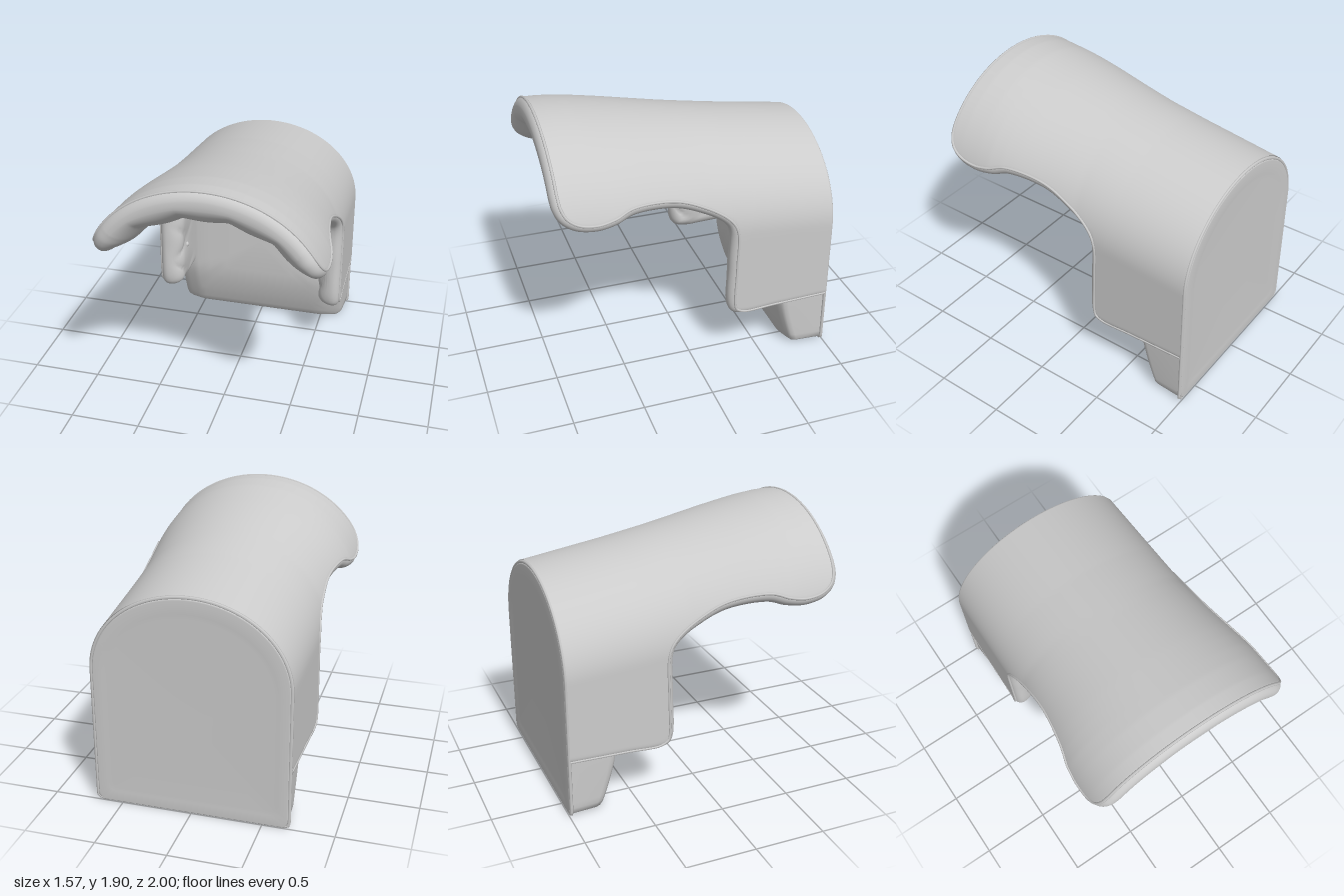
import * as THREE from 'three';
import { mergeVertices } from 'three/addons/utils/BufferGeometryUtils.js';

const material = new THREE.MeshStandardMaterial({ color: 0xcccccc, side: THREE.DoubleSide });
const W = 0.65; // length of one radian of arch
const HALF = Math.PI / 2;

// Linear interpolation through [z, value] stops
function ramp(stops, z) {
  for (let i = 1; i < stops.length; i++) {
    const [z0, v0] = stops[i - 1], [z1, v1] = stops[i];
    if (z <= z1) return v0 + (v1 - v0) * Math.max(0, (z - z0) / (z1 - z0));
  }
  return stops[stops.length - 1][1];
}
const topY = z => ramp([[-1, 1.59], [-0.4, 1.68], [0, 1.75], [0.4, 1.825], [0.7, 1.877], [0.85, 1.893], [1, 1.895]], z);
const halfWidth = z => ramp([[-1, 0.7], [-0.3, 0.712], [-0.1, 0.716], [0, 0.728], [0.1, 0.74], [0.2, 0.753], [0.3, 0.768], [0.4, 0.783], [0.5, 0.796], [0.6, 0.805], [1, 0.81]], z);
const springY = z => 1.1 + 0.1 * z;

// Point of the hood at depth z and arch angle q (0 = crown), pushed inward by `inset`
function hoodPoint(z, q, inset) {
  const a = halfWidth(z), cy = springY(z), b = topY(z) - cy;
  const s = Math.sign(q), p = Math.abs(q), c = Math.min(p, HALF);
  const n = new THREE.Vector2(Math.sin(c) / a, Math.cos(c) / b).normalize();
  const x = a * Math.sin(c) - n.x * inset;
  const y = cy + b * Math.cos(c) - Math.max(0, p - HALF) * W - n.y * inset;
  return new THREE.Vector3(s * x, y, z);
}
function angleAt(z, y) {
  const cy = springY(z), b = topY(z) - cy;
  return y > cy ? Math.acos((y - cy) / b) : HALF + (cy - y) / W;
}

// Lower edge of the hood: depth, height, and the crown depth it is joined to
const edge = new THREE.CatmullRomCurve3([
  [-0.985, 0.4, -0.985], [-0.6, 0.395, -0.8], [-0.3, 0.395, -0.62], [-0.236, 0.45, -0.55], [-0.23, 0.8, -0.4],
  [-0.23, 1.08, -0.27], [-0.19, 1.16, -0.2], [0, 1.285, 0], [0.18, 1.355, 0.18], [0.46, 1.378, 0.45],
  [0.58, 1.34, 0.58], [0.72, 1.32, 0.72], [0.86, 1.348, 0.84], [0.95, 1.415, 0.92], [0.99, 1.5, 0.97], [1, 1.58, 1],
].map(p => new THREE.Vector3(...p)));
const ROWS = 135, HALF_COLS = 56;
const rim = [];
for (let i = 0; i <= ROWS; i++) {
  const p = edge.getPoint(i / ROWS);
  const z = Math.min(p.x, 1);
  rim.push({ z, q: angleAt(z, p.y), crown: Math.min(p.z, 1) });
}

// Distance from a hood position to its free edge
function edgeDistance(z, q) {
  let best = 1 - z;
  const w = Math.abs(q) * W;
  for (let i = 1; i < rim.length; i++) {
    const az = rim[i - 1].z, aw = rim[i - 1].q * W;
    const dz = rim[i].z - az, dw = rim[i].q * W - aw;
    const t = THREE.MathUtils.clamp(((z - az) * dz + (w - aw) * dw) / (dz * dz + dw * dw || 1), 0, 1);
    best = Math.min(best, Math.hypot(z - az - t * dz, w - aw - t * dw));
  }
  return Math.max(0, best);
}
const round = (d, r) => Math.sqrt(1 - (1 - Math.min(d / r, 1)) ** 2);

// Padding is thick at the crown and thinner on the wings
function thickness(z, q) {
  const crown = ramp([[-0.6, 0.29], [0.4, 0.28], [0.7, 0.27], [1, 0.25]], z);
  const c = Math.cos(Math.min(Math.abs(q), HALF));
  return 0.17 + (crown - 0.17) * c ** 1.4;
}
// The inside rolls more softly towards the front
const innerRadius = z => ramp([[-0.3, 0.1], [0.2, 0.14], [0.8, 0.24]], z);

// Diamond tufts inside, running out into straight channels at the front
function tuft(z, q) {
  const p = q / 0.5, r = Math.min(0.5, (z - 0.6) / 0.4 + 0.5);
  const puff = Math.sqrt(Math.abs(Math.sin(Math.PI * (p + r)) * Math.sin(Math.PI * (p - r))));
  return 0.03 * (puff - 0.6) * THREE.MathUtils.smoothstep(z, -0.6, -0.2);
}

function hoodGeometry() {
  const positions = [], index = [], cols = HALF_COLS * 2 + 1, count = (ROWS + 1) * cols;
  for (const inside of [false, true]) {
    for (const { z: zb, q: qb, crown } of rim) {
      for (let j = -HALF_COLS; j <= HALF_COLS; j++) {
        const v = 1 - (1 - Math.abs(j) / HALF_COLS) ** 1.6;
        const z = crown + (zb - crown) * v, q = Math.sign(j) * qb * v;
        const d = edgeDistance(z, q), t = thickness(z, q);
        const roll = round(d, inside ? innerRadius(z) : 0.06);
        const inset = inside ? t * (0.35 + 0.65 * roll) + tuft(z, q) * roll : 0.35 * t * (1 - roll);
        positions.push(...hoodPoint(z, q, inset).toArray());
      }
    }
    const base = inside ? count : 0;
    for (let i = 0; i < ROWS; i++) for (let j = 0; j < cols - 1; j++) {
      const a = base + i * cols + j, b = a + cols;
      if (inside) index.push(a, a + 1, b, a + 1, b + 1, b);
      else index.push(a, b, a + 1, a + 1, b, b + 1);
    }
  }
  return smoothGeometry(positions, index);
}

function smoothGeometry(positions, index) {
  const g = new THREE.BufferGeometry();
  g.setAttribute('position', new THREE.Float32BufferAttribute(positions, 3));
  g.setIndex(index);
  const welded = mergeVertices(g, 1e-4);
  welded.computeVertexNormals();
  return welded;
}

// Arched outline of the back, counter-clockwise seen from the front
function backOutline(a, top) {
  const s = new THREE.Shape(), r = 0.05;
  s.moveTo(-a + r, 0).lineTo(a - r, 0).quadraticCurveTo(a, 0, a, r);
  s.lineTo(a, 0.4).lineTo(a, 1);
  s.absellipse(0, 1, a, top - 1, 0, Math.PI, false);
  s.lineTo(-a, 0.4).lineTo(-a, r).quadraticCurveTo(-a, 0, -a + r, 0);
  return s.getSpacedPoints(120).slice(0, -1);
}

// Padded back: rings from the rear centre, round the side, to the front centre
function backGeometry() {
  const outline = backOutline(0.68, 1.572), n = outline.length;
  const front = (x, y) => -0.605 - 0.11 * Math.max(0, (0.4 - y) / 0.4) ** 1.3
    - 0.05 * Math.max(0, (Math.abs(x) - 0.52) / 0.16);
  const rings = [
    [0, -0.994], [0.84, -0.994], [0.88, -1], [0.985, -1], [0.997, -0.995], [1, -0.985],
    [1, -0.045, true], [0.99, -0.018, true], [0.965, -0.004, true], [0.9, 0, true], [0.82, 0.002, true],
    [0.75, 0.004, true], [0.6, 0.006, true], [0.4, 0.008, true], [0, 0.008, true],
  ];
  const positions = [], index = [];
  for (const [k, z, isFront] of rings) for (const p of outline) {
    const x = p.x * k, y = 0.7 + (p.y - 0.7) * k;
    const taper = isFront ? 1 - 0.02 * Math.max(0, 1 - y / 0.4) : 1;
    positions.push(x * taper, y, isFront ? front(x, y) + z : z);
  }
  for (let i = 0; i < rings.length - 1; i++) for (let j = 0; j < n; j++) {
    const a = i * n + j, b = i * n + (j + 1) % n;
    index.push(a, b, a + n, b, b + n, a + n);
  }
  return smoothGeometry(positions, index);
}

// Seam line, set in from the free edge and mirrored across the crown
function seamCurve() {
  const flat = rim.filter((_, i) => i % 2 === 0 || i === ROWS).map(p => [p.z, p.q * W]);
  const last = flat[flat.length - 1][1];
  for (let i = 1; i <= 14; i++) flat.push([1, last * (1 - i / 14)]);
  const side = flat.map(([z, w], i) => {
    const p = flat[Math.max(0, i - 1)], q = flat[Math.min(flat.length - 1, i + 1)];
    const dz = q[0] - p[0], dw = q[1] - p[1], l = Math.hypot(dz, dw);
    const inset = ramp([[-0.36, 0.03], [-0.28, 0.045]], z);
    const sunk = 0.35 * thickness(z, w / W) * (1 - round(inset, 0.06));
    return hoodPoint(z + inset * dw / l, (w - inset * dz / l) / W, sunk);
  });
  const mirrored = side.slice(0, -1).reverse().map(p => new THREE.Vector3(-p.x, p.y, p.z));
  return new THREE.CatmullRomCurve3([...side, ...mirrored]);
}

export function createModel() {
  const model = new THREE.Group();
  const add = (name, geometry) => {
    const mesh = new THREE.Mesh(geometry, material);
    mesh.name = name;
    model.add(mesh);
    return mesh;
  };
  add('hood', hoodGeometry());
  add('backPad', backGeometry());
  add('hoodPiping', new THREE.TubeGeometry(seamCurve(), 360, 0.01, 6));

  // Piping round the rear panel, closing the joint with the hood
  const rear = backOutline(0.685, 1.577).map(p => new THREE.Vector3(p.x, Math.max(p.y, 0.012), -0.987));
  add('backPiping', new THREE.TubeGeometry(new THREE.CatmullRomCurve3(rear, true), 240, 0.013, 6, true));

  // Buttons where the tufts meet the channels and on the wings
  const button = new THREE.SphereGeometry(0.022, 12, 8);
  for (const [z, q] of [[0.6, 0.25], [0.6, 0.75], [0.2, 0.25], [0.2, 0.75], [0.4, 0.5], [-0.4, 2.1]]) {
    for (const s of [-1, 1]) {
      add('button', button).position.copy(hoodPoint(z, s * q, thickness(z, q) + tuft(z, q) - 0.008));
    }
  }
  return model;
}
